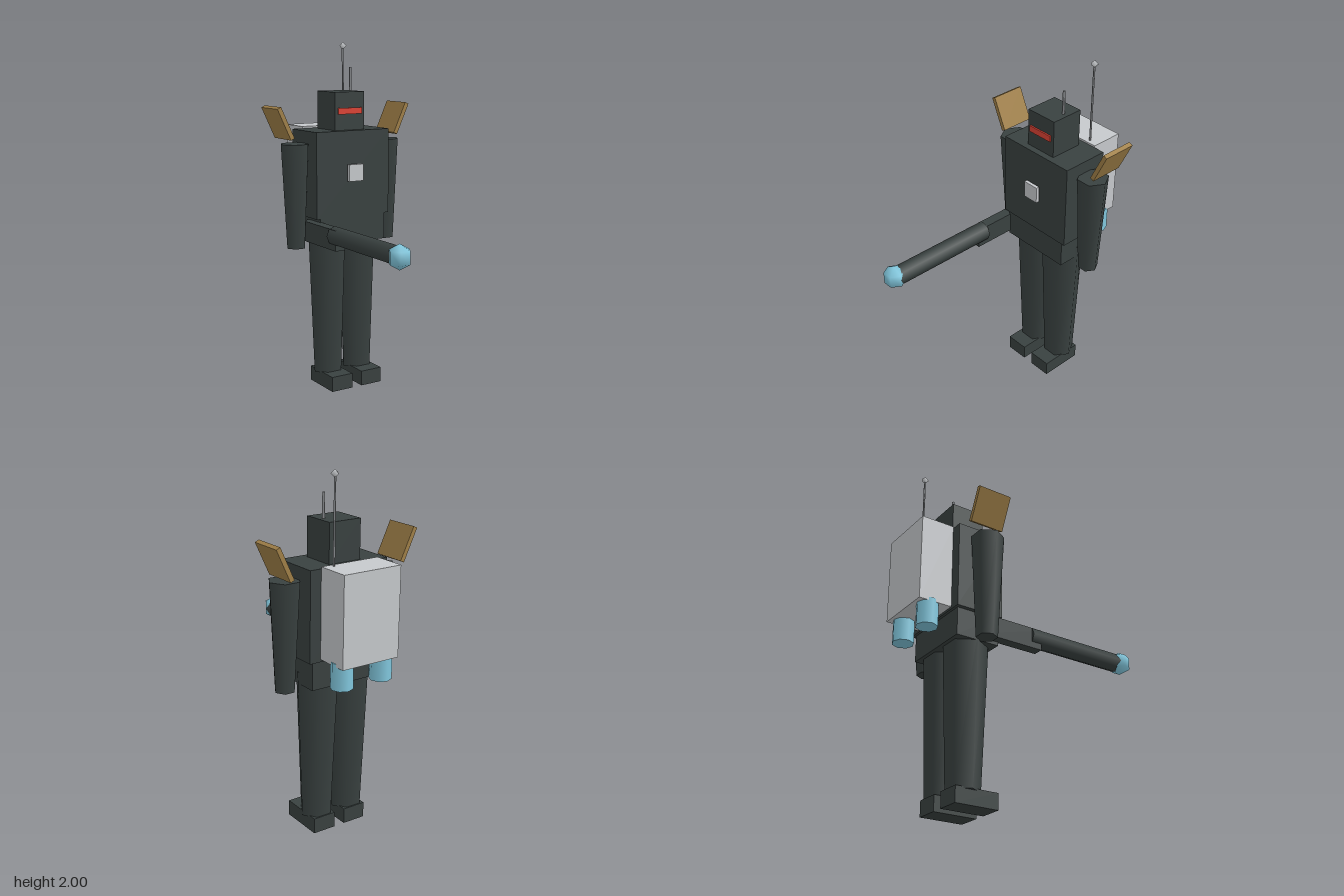
import * as THREE from 'three';

const material = (name, color) => {
  const m = new THREE.MeshStandardMaterial({ color });
  m.name = name;
  return m;
};

export function createModel() {
  const armour = material('dark armour', 0x394140);
  const brass = material('brass', 0xa08048);
  const grey = material('pale grey', 0xc6c9cc);
  const steel = material('steel', 0x8a8d90);
  const cyan = material('cyan glow', 0x82c8de);
  const red = material('visor red', 0xdc4234);

  const model = new THREE.Group();
  model.name = 'robot';

  const add = (name, geometry, mat, x, y, z) => {
    const mesh = new THREE.Mesh(geometry, mat);
    mesh.name = name;
    mesh.position.set(x, y, z);
    model.add(mesh);
    return mesh;
  };
  const box = (name, mat, [w, h, d], [x, y, z]) =>
    add(name, new THREE.BoxGeometry(w, h, d), mat, x, y, z);
  // upright tapered column from y0 to y1, with a corner on the x axis
  const column = (name, mat, rTop, rBottom, y0, y1, x, z, sides = 6) =>
    add(name, new THREE.CylinderGeometry(rTop, rBottom, y1 - y0, sides, 1, false, Math.PI / 2),
      mat, x, (y0 + y1) / 2, z);

  const bodyZ = -0.335;

  // torso and head
  box('torso', armour, [0.48, 0.49, 0.276], [0, 1.265, -0.337]);
  box('waist', armour, [0.43, 0.17, 0.254], [0, 0.95, -0.333]);
  box('head', armour, [0.194, 0.22, 0.195], [0, 1.615, -0.334]);
  box('visor', red, [0.155, 0.035, 0.009], [0, 1.618, -0.232]);
  box('chestPlate', grey, [0.095, 0.096, 0.02], [0, 1.273, -0.176]);

  // limbs and shoulder plates, mirrored
  for (const [side, s] of [['left', 1], ['right', -1]]) {
    column(side + 'Arm', armour, 0.088, 0.057, 0.845, 1.44, s * 0.302, bodyZ);
    column(side + 'Leg', armour, 0.122, 0.09, 0.08, 0.93, s * 0.1, bodyZ);
    box(side + 'Foot', armour, [0.136, 0.088, 0.252], [s * 0.1, 0.044, -0.294]);
    const plate = box(side + 'ShoulderPlate', brass, [0.025, 0.193, 0.195], [s * 0.384, 1.558, -0.376]);
    plate.rotation.z = -s * 0.436;
    column(side + 'Thruster', cyan, 0.06, 0.06, 0.905, 1.05, s * 0.124, -0.588, 8);
  }

  // backpack
  box('backpack', grey, [0.35, 0.487, 0.191], [0, 1.277, -0.57]);

  // antennas
  column('headAntenna', steel, 0.008, 0.008, 1.7, 1.86, 0.066, bodyZ, 5);
  column('backpackAntenna', steel, 0.006, 0.006, 1.5, 1.98, 0.117, -0.5, 5);
  add('antennaTip', new THREE.SphereGeometry(0.022, 5, 2), grey, 0.117, 1.978, -0.5);

  // arm cannon
  box('cannonMount', armour, [0.06, 0.115, 0.37], [-0.235, 0.943, -0.145]);
  const barrel = new THREE.CylinderGeometry(0.053, 0.053, 0.63, 8).rotateX(Math.PI / 2);
  add('cannonBarrel', barrel, armour, -0.231, 0.96, 0.293);
  add('cannonOrb', new THREE.SphereGeometry(0.068, 6, 3), cyan, -0.238, 0.96, 0.611);

  return model;
}
